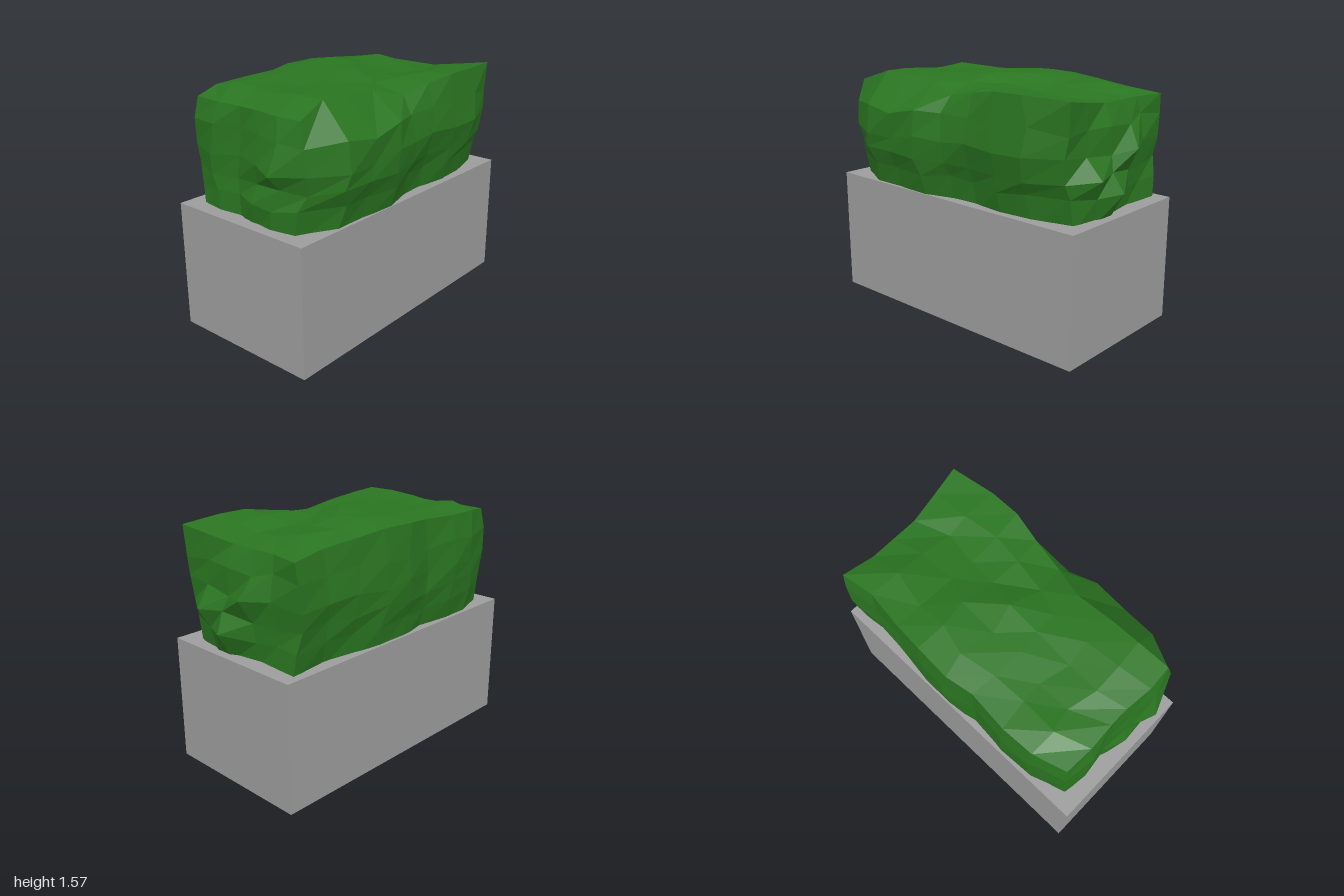
import * as THREE from 'three';

// Repeatable pseudo-random value in 0..1 for a grid point
function hash(i, j, k) {
  const s = Math.sin(i * 12.9898 + j * 78.233 + k * 37.719 + 4.1) * 43758.5453;
  return s - Math.floor(s);
}

// Outline of the foliage at each station along x
const stationX = [-0.87, -0.66, -0.45, -0.22, -0.02, 0.2, 0.41, 0.63, 0.845];
const backZ = [-0.48, -0.56, -0.57, -0.54, -0.58, -0.57, -0.54, -0.52, -0.53];
const frontZ = [0.43, 0.57, 0.56, 0.58, 0.52, 0.51, 0.53, 0.53, 0.44];
const topY = [1.48, 1.55, 1.55, 1.55, 1.57, 1.58, 1.55, 1.53, 1.46];
// Front edge of the crown
const crownZ = [0.38, 0.35, 0.35, 0.34, 0.41, 0.44, 0.48, 0.48, 0.44];
const crownY = [1.48, 1.55, 1.54, 1.52, 1.46, 1.5, 1.53, 1.53, 1.52];
// Shallow valley across the crown, from back to front
const valley = [0, 0, 0.02, 0.06, 0.02, 0];
// Levels from the rim upward: height and how far the sides are drawn in
const levelY = [0.77, 0.95, 1.06, 1.18, 1.34, 1.48];
const drawIn = [0.1, 0.06, 0.02, 0, 0.01, 0.04];
// Bulges of the two ends: one row per level, from back to front
const endBulge = {
  left: [
    [0.04, 0.03, 0.02, 0.05, 0.05, 0.03],
    [0.03, 0.02, 0.04, 0.155, 0.08, 0.03],
    [0, 0.02, 0.05, 0.09, 0.14, 0.02],
    [0.02, 0.05, 0.13, 0.06, 0.04, 0.03],
    [0.03, 0.02, 0.05, 0.06, 0.03, 0.05],
    [0.04, 0, 0, 0, 0.03, 0.06],
  ],
  right: [
    [0.02, 0.04, 0.02, 0.04, 0.06, 0.03],
    [0.01, 0.04, 0.02, 0.08, 0.07, 0.04],
    [0, 0.04, 0.01, 0.04, 0.05, 0],
    [0.01, 0.05, 0.01, 0.06, 0.12, 0.03],
    [0.02, 0.05, 0, 0.03, 0.06, 0.03],
    [0, 0.01, 0, 0, 0.02, 0.01],
  ],
};

function createFoliage(material) {
  const nx = 8, ny = 5, nz = 5;
  let geometry = new THREE.BoxGeometry(nx, ny, nz, nx, ny, nz);
  const pos = geometry.attributes.position;
  for (let n = 0; n < pos.count; n++) {
    const i = Math.round(pos.getX(n) + nx / 2);
    const j = Math.round(pos.getY(n) + ny / 2);
    const k = Math.round(pos.getZ(n) + nz / 2);
    const r = hash(i, j, k), r2 = hash(k + 7, i, j), r3 = hash(j, k, i + 3);
    const onEnd = i === 0 || i === nx;
    const onSide = k === 0 || k === nz;
    const onTop = j === ny;

    // Sides follow the outline, with hollows; the foot stays inside the planter
    const inset = drawIn[j] + (onSide && !onEnd ? r * 0.035 : 0);
    const back = backZ[i] + inset * 0.6;
    let front = onTop ? crownZ[i] : frontZ[i] - inset;
    if (j === 0) front = Math.min(front, 0.46);
    let z = back + (front - back) * (k / nz);
    if (!onSide) z += (r2 - 0.5) * 0.06;

    // Ends bulge in the lower half
    let x = stationX[i];
    if (i === 0) x -= endBulge.right[j][k];
    else if (i === nx) x += endBulge.left[j][k];
    else x += (r3 - 0.5) * 0.06;

    // Crown is slightly uneven, with its own front edge
    let y = levelY[j];
    if (onTop) {
      if (k === nz) y = crownY[i];
      else if (k === nz - 1) y = (topY[i] + crownY[i]) / 2;
      else if (k === 0 && !onEnd) y = topY[i] - 0.03 - r2 * 0.02;
      else y = topY[i] - (onEnd ? 0 : r * 0.025);
      if (i > 4 && !onEnd) y -= valley[k];
    } else if (j > 0) {
      y += (r2 - 0.5) * 0.05;
    }
    pos.setXYZ(n, x, y, z);
  }
  geometry = geometry.toNonIndexed();
  geometry.computeVertexNormals();
  const mesh = new THREE.Mesh(geometry, material);
  mesh.name = 'foliage';
  return mesh;
}

function createPlanter(material) {
  const geometry = new THREE.BoxGeometry(1.975, 0.81, 1.01);
  geometry.translate(-0.0125, 0.405, -0.025);
  // Rim rises a little towards the model's right
  const pos = geometry.attributes.position;
  for (let n = 0; n < pos.count; n++) {
    if (pos.getY(n) > 0.4 && pos.getX(n) < 0) pos.setY(n, 0.825);
  }
  geometry.computeVertexNormals();
  const mesh = new THREE.Mesh(geometry, material);
  mesh.name = 'planter';
  return mesh;
}

export function createModel() {
  const leafGreen = new THREE.MeshStandardMaterial({ color: 0x2a7521, flatShading: true });
  leafGreen.name = 'leaf green';
  const stoneGrey = new THREE.MeshStandardMaterial({ color: 0x9c9c9c });
  stoneGrey.name = 'stone grey';

  const model = new THREE.Group();
  model.name = 'planterWithHedge';
  model.add(createPlanter(stoneGrey), createFoliage(leafGreen));
  return model;
}
